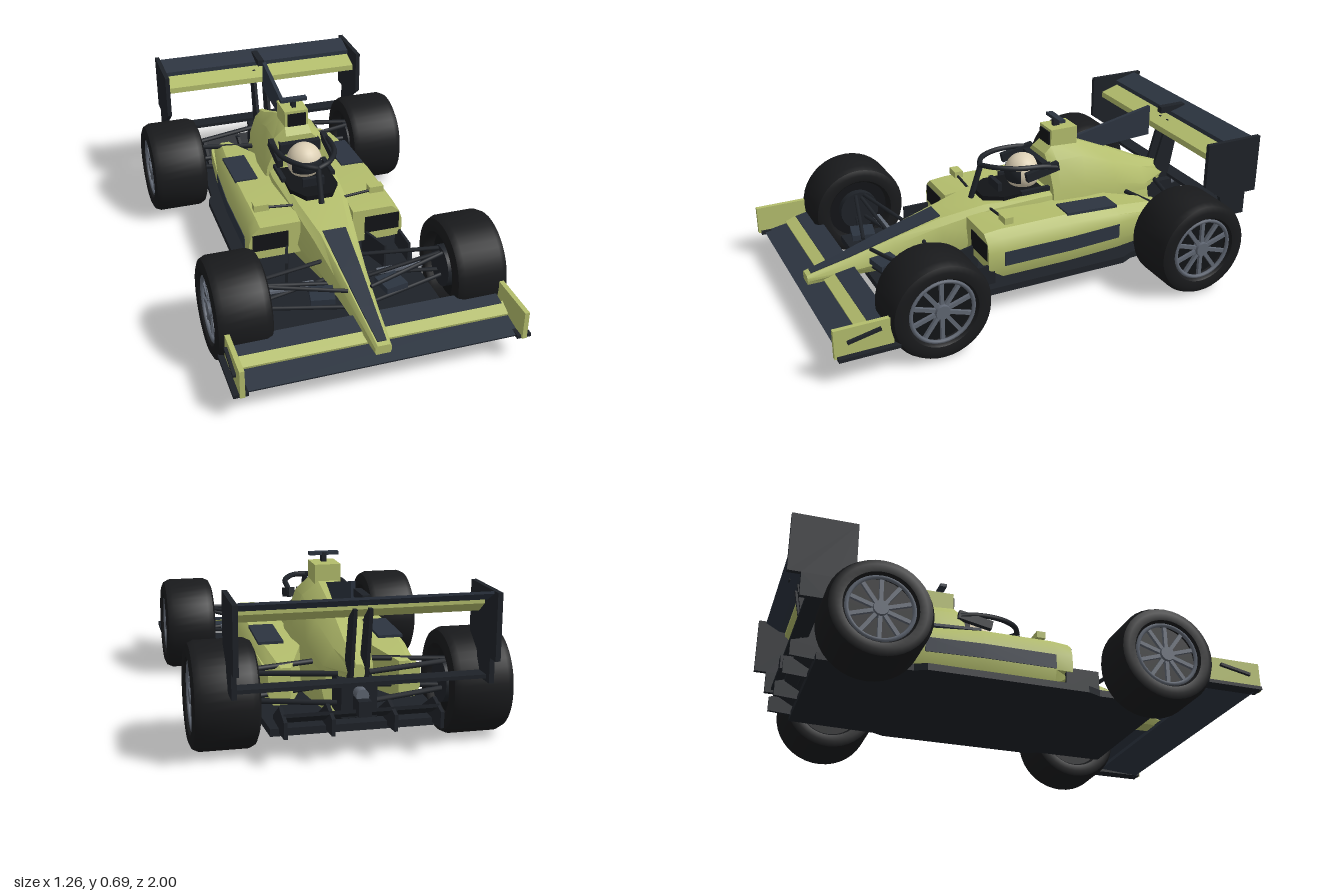
import * as THREE from 'three';
import { toCreasedNormals } from 'three/addons/utils/BufferGeometryUtils.js';

const mat = (color) => new THREE.MeshStandardMaterial({ color, side: THREE.DoubleSide });
const green = mat(0xb3bd6c), dark = mat(0x1e2228), navy = mat(0x2c3440), rubber = mat(0x191a1c);
const grey = mat(0x5f6672), cream = mat(0xdccfb4), black = mat(0x121417);

export function createModel() {
  const car = new THREE.Group();
  car.name = 'racingCar';

  const add = (name, geo, m, parent = car) => {
    const mesh = new THREE.Mesh(geo, m);
    mesh.name = name;
    parent.add(mesh);
    return mesh;
  };
  const box = (name, m, w, h, d, x, y, z) => {
    const b = add(name, new THREE.BoxGeometry(w, h, d), m);
    b.position.set(x, y, z);
    return b;
  };
  const outline = (pts) => new THREE.Shape(pts.map(([a, b]) => new THREE.Vector2(a, b)));
  // side profile of [z, y] points, extruded across x
  const profile = (name, m, pts, width, x = 0) => {
    const g = new THREE.ExtrudeGeometry(outline(pts), { depth: width, bevelEnabled: false });
    g.translate(0, 0, -width / 2).rotateY(-Math.PI / 2).translate(x, 0, 0);
    return add(name, g, m);
  };
  // plan of [x, z] points whose upper face lies at y = top
  const slab = (name, m, pts, top, thick) => {
    const g = new THREE.ExtrudeGeometry(outline(pts), { depth: thick, bevelEnabled: false });
    return add(name, g.rotateX(Math.PI / 2).translate(0, top, 0), m);
  };
  const bar = (name, m, a, b, r, sides = 8) => {
    const p = new THREE.Vector3(...a), q = new THREE.Vector3(...b);
    const mesh = add(name, new THREE.CylinderGeometry(r, r, p.distanceTo(q), sides), m);
    mesh.position.copy(p).add(q).multiplyScalar(0.5);
    mesh.quaternion.setFromUnitVectors(new THREE.Vector3(0, 1, 0), q.sub(p).normalize());
  };
  // skin through rings [z, [[x, y]...]], counter-clockwise from the front, listed back to front
  const loft = (name, m, rings) => {
    const n = rings[0][1].length, pos = [], idx = [];
    for (const [z, pts] of rings) for (const [x, y] of pts) pos.push(x, y, z);
    for (let i = 0; i < rings.length - 1; i++) for (let j = 0; j < n; j++) {
      const a = i * n + j, b = i * n + (j + 1) % n;
      idx.push(a, b, b + n, a, b + n, a + n);
    }
    const f = (rings.length - 1) * n;
    for (let j = 1; j < n - 1; j++) idx.push(0, j + 1, j, f, f + j, f + j + 1);
    const g = new THREE.BufferGeometry();
    g.setAttribute('position', new THREE.Float32BufferAttribute(pos, 3));
    g.setIndex(idx);
    return add(name, toCreasedNormals(g, 0.6), m);
  };
  const symmetric = (half) => [...half, ...half.map(([x, y]) => [-x, y]).reverse()];
  const hull = (name, m, rows) => loft(name, m, rows.map(([z, ...v]) =>
    [z, symmetric([0, 2, 4, 6].map((k) => [v[k], v[k + 1]]))]));

  // Nose and tub: z, then bottom, waist, shoulder and top as half width and height
  hull('noseAndTub', green, [
    [-0.7, 0.09, 0.13, 0.11, 0.22, 0.08, 0.32, 0.04, 0.35],
    [-0.45, 0.12, 0.12, 0.14, 0.25, 0.12, 0.36, 0.08, 0.39],
    [-0.1, 0.14, 0.12, 0.17, 0.25, 0.145, 0.375, 0.11, 0.39],
    [0.15, 0.12, 0.12, 0.15, 0.24, 0.125, 0.355, 0.1, 0.375],
    [0.35, 0.08, 0.13, 0.115, 0.22, 0.095, 0.31, 0.065, 0.335],
    [0.55, 0.05, 0.135, 0.08, 0.19, 0.07, 0.255, 0.05, 0.28],
    [0.75, 0.04, 0.14, 0.058, 0.17, 0.05, 0.205, 0.035, 0.222],
    [0.94, 0.03, 0.135, 0.035, 0.15, 0.034, 0.165, 0.025, 0.175]]);
  loft('noseStripe', navy, [[0.34, 0.052, 0.342], [0.55, 0.042, 0.286], [0.75, 0.03, 0.228], [0.92, 0.019, 0.184]]
    .map(([z, w, y]) => [z, symmetric([[w, y - 0.02], [w, y]])]));

  // Engine cover, air intake and fin
  hull('engineCover', green, [
    [-0.84, 0.015, 0.3, 0.025, 0.32, 0.02, 0.345, 0.01, 0.355],
    [-0.68, 0.1, 0.28, 0.1, 0.31, 0.06, 0.38, 0.02, 0.415],
    [-0.5, 0.13, 0.3, 0.13, 0.36, 0.09, 0.45, 0.025, 0.5],
    [-0.33, 0.16, 0.3, 0.155, 0.39, 0.11, 0.52, 0.04, 0.575],
    [-0.2, 0.165, 0.3, 0.155, 0.4, 0.11, 0.52, 0.055, 0.57],
    [-0.165, 0.165, 0.3, 0.15, 0.4, 0.1, 0.5, 0.06, 0.54]]);
  box('airIntake', green, 0.11, 0.085, 0.13, 0, 0.602, -0.265);
  box('airIntakeMouth', black, 0.085, 0.06, 0.01, 0, 0.602, -0.198);
  box('cameraStem', dark, 0.02, 0.05, 0.03, 0, 0.66, -0.25);
  box('cameraPod', navy, 0.125, 0.014, 0.03, 0, 0.68, -0.25);
  profile('engineFin', navy, [[-0.33, 0.57], [-0.745, 0.655], [-0.745, 0.515], [-0.48, 0.5]], 0.018);

  // Cockpit, driver and head guard
  slab('cockpitOpening', black, [[-0.11, -0.14], [0.11, -0.14], [0.11, 0.06], [0.06, 0.14], [-0.06, 0.14], [-0.11, 0.06]], 0.397, 0.03);
  box('headrest', dark, 0.19, 0.05, 0.06, 0, 0.49, -0.165);
  const helmet = add('helmet', new THREE.SphereGeometry(0.08, 24, 16), cream);
  helmet.position.set(0, 0.452, -0.085);
  helmet.scale.y = 1.05;
  const visor = add('visor', new THREE.SphereGeometry(0.082, 20, 8, Math.PI * 0.17, Math.PI * 0.66, 1.25, 0.75), dark);
  visor.position.copy(helmet.position);
  box('steeringWheel', dark, 0.1, 0.05, 0.02, 0, 0.41, 0.05);
  bar('guardPillar', dark, [0, 0.37, 0.17], [0, 0.52, 0.12], 0.013);
  for (const s of [-1, 1]) {
    const path = new THREE.CatmullRomCurve3([[0, 0.52, 0.125], [0.06, 0.525, 0.09], [0.115, 0.522, 0],
      [0.13, 0.515, -0.12], [0.13, 0.5, -0.19]].map(([x, y, z]) => new THREE.Vector3(s * x, y, z)));
    add('guardHoop', new THREE.TubeGeometry(path, 20, 0.012, 8), dark);
    box('guardMount', dark, 0.025, 0.04, 0.16, s * 0.125, 0.49, -0.12).rotation.x = 0.2;
    box('cockpitEdge', dark, 0.02, 0.02, 0.14, s * 0.115, 0.4, -0.09);
  }

  // Floor and diffuser
  slab('floor', dark, [[-0.34, -0.84], [0.34, -0.84], [0.36, -0.45], [0.385, -0.4], [0.385, 0.3], [0.36, 0.36],
    [0.36, 0.67], [-0.36, 0.67], [-0.36, 0.36], [-0.385, 0.3], [-0.385, -0.4], [-0.36, -0.45]], 0.125, 0.03);
  profile('diffuserRamp', dark, [[-0.72, 0.12], [-0.84, 0.17], [-0.9, 0.2], [-0.9, 0.185], [-0.84, 0.15], [-0.72, 0.1]], 0.6);
  for (const x of [-0.3, -0.12, 0.12, 0.3])
    profile('diffuserFin', dark, [[-0.72, 0.1], [-0.94, 0.115], [-0.94, 0.18], [-0.84, 0.21], [-0.72, 0.14]], 0.014, x);
  box('gearbox', dark, 0.14, 0.14, 0.3, 0, 0.22, -0.7);
  box('crashStructure', dark, 0.05, 0.06, 0.14, 0, 0.21, -0.87);
  bar('exhaust', grey, [0, 0.25, -0.78], [0, 0.25, -0.9], 0.025, 16);

  // Side pods, mirrors and vanes
  const podRing = (xi, xo, yb, yt, s, undercut = 0) => {
    const r = [[xi, yb], [xo - 0.02 - undercut, yb], [xo, 0.195], [xo, 0.27], [xo - 0.015, yt - 0.03], [xo - 0.05, yt], [xi, yt]];
    return s > 0 ? r : r.map(([x, y]) => [-x, y]).reverse();
  };
  for (const s of [-1, 1]) {
    loft('sidePod', green, [
      [-0.64, podRing(0.22, 0.31, 0.15, 0.3, s)], [-0.4, podRing(0.13, 0.335, 0.14, 0.335, s)],
      [-0.15, podRing(0.13, 0.35, 0.14, 0.352, s)], [0.17, podRing(0.12, 0.35, 0.14, 0.352, s)],
      [0.245, podRing(0.12, 0.35, 0.19, 0.345, s, 0.03)]]);
    loft('podStripe', navy, [[-0.4, 0.338], [-0.15, 0.353], [0.17, 0.353]].map(([z, x]) => {
      const a = s * (x - 0.02), b = s * x, lo = Math.min(a, b), hi = Math.max(a, b);
      return [z, [[lo, 0.2], [hi, 0.2], [hi, 0.265], [lo, 0.265]]];
    }));
    box('podInlet', black, 0.16, 0.08, 0.01, s * 0.255, 0.27, 0.243);
    box('podLouvre', navy, 0.105, 0.012, 0.25, s * 0.255, 0.347, -0.275).rotation.x = -0.05;
    box('mirror', green, 0.065, 0.03, 0.04, s * 0.265, 0.378, 0.125);
    bar('mirrorStem', dark, [s * 0.12, 0.36, 0.13], [s * 0.25, 0.372, 0.13], 0.006);
    box('turningVane', dark, 0.012, 0.09, 0.15, s * 0.34, 0.17, 0.29);
    box('innerVane', dark, 0.012, 0.11, 0.16, s * 0.2, 0.18, 0.3).rotation.y = s * 0.3;
    box('vaneBridge', grey, 0.2, 0.012, 0.03, s * 0.24, 0.2, 0.5);
    box('deflector', navy, 0.1, 0.025, 0.1, s * 0.15, 0.23, 0.63).rotation.y = s * 0.2;

    // Suspension
    for (const [y0, y1, z0, z1] of [[0.25, 0.29, 0.42, 0.54], [0.25, 0.29, 0.66, 0.57], [0.17, 0.18, 0.44, 0.54], [0.17, 0.18, 0.66, 0.57], [0.18, 0.28, 0.5, 0.55]])
      bar('frontArm', dark, [s * 0.05, y0, z0], [s * 0.42, y1, z1], 0.009);
    for (const [y0, y1, z0, z1] of [[0.3, 0.3, -0.55, -0.64], [0.3, 0.3, -0.76, -0.67], [0.19, 0.19, -0.55, -0.64], [0.19, 0.19, -0.78, -0.67], [0.22, 0.22, -0.65, -0.65]])
      bar('rearArm', dark, [s * 0.06, y0, z0], [s * 0.42, y1, z1], 0.011);

    // Wheels
    for (const [name, z, xc, w] of [['frontWheel', 0.56, 0.5, 0.235], ['rearWheel', -0.65, 0.5, 0.26]]) {
      const wheel = new THREE.Group(), h = w / 2;
      wheel.name = name;
      wheel.position.set(s * xc, 0.215, z);
      wheel.rotation.z = -s * Math.PI / 2;
      car.add(wheel);
      const prof = [[0.14, -h + 0.02], [0.15, -h + 0.005], [0.18, -h], [0.203, -h + 0.01], [0.215, -h + 0.035],
        [0.215, h - 0.035], [0.203, h - 0.01], [0.18, h], [0.15, h - 0.005], [0.14, h - 0.02], [0.14, -h + 0.02]];
      add('tyre', toCreasedNormals(new THREE.LatheGeometry(prof.map((p) => new THREE.Vector2(...p)), 40), 0.7), rubber, wheel);
      add('rimWell', new THREE.CylinderGeometry(0.139, 0.139, w - 0.1, 32), black, wheel);
      const ring = add('rimRing', new THREE.TorusGeometry(0.133, 0.009, 6, 40), grey, wheel);
      ring.rotation.x = Math.PI / 2;
      ring.position.y = h - 0.02;
      add('hub', new THREE.CylinderGeometry(0.03, 0.035, 0.03, 16), grey, wheel).position.y = h - 0.025;
      add('brakeDrum', new THREE.CylinderGeometry(0.09, 0.09, 0.04, 24), dark, wheel).position.y = -h + 0.035;
      for (let i = 0; i < 10; i++) {
        const a = i * Math.PI / 5;
        const spoke = add('spoke', new THREE.BoxGeometry(0.115, 0.014, 0.016), grey, wheel);
        spoke.position.set(Math.cos(a) * 0.075, h - 0.028, -Math.sin(a) * 0.075);
        spoke.rotation.y = a;
      }
    }

    // Wing end plates
    profile('frontEndPlate', green, [[0.76, 0.115], [1, 0.115], [1, 0.24], [0.76, 0.24]], 0.02, s * 0.578);
    box('frontFootPlate', dark, 0.06, 0.015, 0.25, s * 0.582, 0.118, 0.865);
    box('endPlateFin', dark, 0.015, 0.012, 0.14, s * 0.594, 0.195, 0.88).rotation.x = 0.2;
    profile('rearEndPlate', dark, [[-0.73, 0.64], [-1, 0.64], [-1, 0.38], [-0.945, 0.38], [-0.945, 0.28],
      [-0.84, 0.28], [-0.81, 0.38], [-0.73, 0.44]], 0.02, s * 0.488);
    profile('wingPylon', dark, [[-0.74, 0.25], [-0.83, 0.58], [-0.9, 0.58], [-0.84, 0.25]], 0.014, s * 0.03);
  }

  // Front wing elements
  profile('frontMainPlane', navy, [[0.78, 0.125], [0.97, 0.11], [0.975, 0.12], [0.86, 0.14], [0.78, 0.142]], 1.16);
  profile('frontMidFlap', green, [[0.815, 0.155], [0.87, 0.138], [0.872, 0.148], [0.815, 0.172]], 1.14);
  profile('frontTopFlap', navy, [[0.74, 0.175], [0.825, 0.16], [0.825, 0.17], [0.74, 0.188]], 1.12);

  // Rear wing elements
  profile('rearMainPlane', green, [[-0.78, 0.535], [-0.82, 0.535], [-0.875, 0.575], [-0.875, 0.592], [-0.78, 0.562]], 0.965);
  profile('rearFlap', navy, [[-0.86, 0.592], [-0.9, 0.595], [-0.965, 0.63], [-0.965, 0.64], [-0.86, 0.612]], 0.965);
  box('rearBeamWing', dark, 0.96, 0.015, 0.07, 0, 0.3, -0.88);
  box('wingActuator', dark, 0.03, 0.03, 0.13, 0, 0.625, -0.87);
  return car;
}
